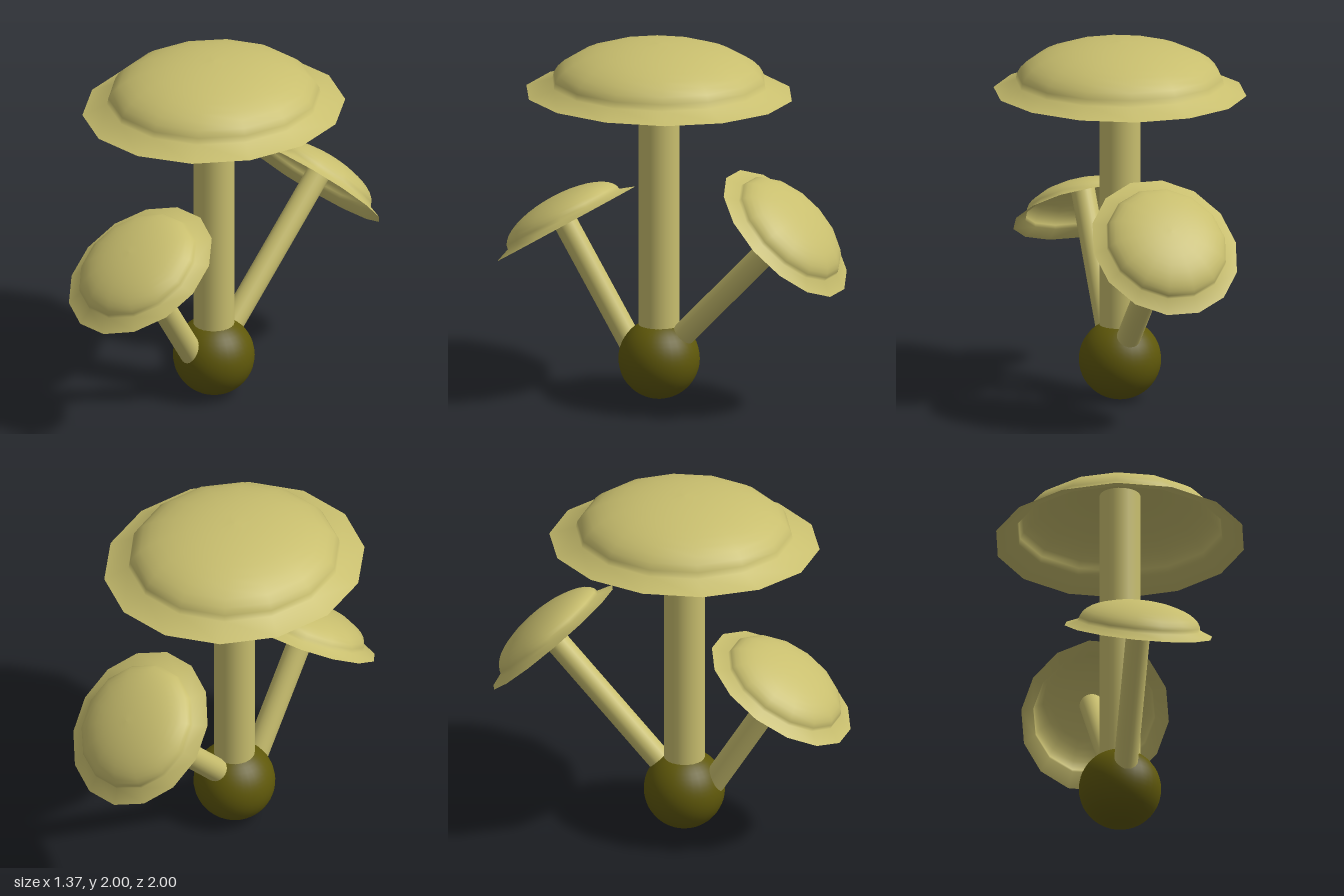
import * as THREE from 'three';

const SIDES = 14;
const fleshMat = new THREE.MeshStandardMaterial({ color: 0xc8be6e, side: THREE.DoubleSide });
const bulbMat = new THREE.MeshStandardMaterial({ color: 0x5f580a });

// Thin open shell: flared rim at y = 0, elliptical dome above it
function capGeometry() {
  const domeR = 0.57, domeBase = 0.05, domeH = 0.23, steps = 10;
  const profile = [new THREE.Vector2(0.687, 0)];
  for (let i = 0; i <= steps; i++) {
    const a = (i / steps) * Math.PI / 2;
    profile.push(new THREE.Vector2(Math.max(0, domeR * Math.cos(a)), domeBase + domeH * Math.sin(a)));
  }
  const geo = new THREE.LatheGeometry(profile, SIDES, Math.PI / 2);
  // Slightly longer front to back, most of all at the rim
  const pos = geo.attributes.position;
  for (let i = 0; i < pos.count; i++) {
    pos.setZ(i, pos.getZ(i) * (pos.getY(i) < 0.01 ? 1.088 : 1.05));
  }
  return geo;
}

// Mushroom with its origin at the centre of the cap rim, stem running down -y
function mushroom(name, { z, y, tilt, scale, stemRadius, stemLength, stemTop }) {
  const group = new THREE.Group();
  group.name = name;

  const cap = new THREE.Mesh(capGeometry(), fleshMat);
  cap.name = name + 'Cap';
  cap.scale.setScalar(scale);

  const stem = new THREE.Mesh(
    new THREE.CylinderGeometry(stemRadius, stemRadius, stemLength + stemTop, 24), fleshMat);
  stem.name = name + 'Stem';
  stem.position.y = (stemTop - stemLength) / 2;

  group.add(cap, stem);
  group.position.set(0, y, z);
  group.rotation.x = tilt;
  return group;
}

export function createModel() {
  const model = new THREE.Group();
  model.name = 'mushroomCluster';

  // Round bulb at the base
  const bulb = new THREE.Mesh(new THREE.SphereGeometry(0.222, 32, 24), bulbMat);
  bulb.name = 'bulb';
  bulb.position.set(0, 0.222, 0.07);
  bulb.scale.x = 1.015;
  model.add(bulb);

  model.add(
    mushroom('mainMushroom', {
      z: 0.07, y: 1.72, tilt: 0, scale: 1,
      stemRadius: 0.112, stemLength: 1.42, stemTop: 0.265,
    }),
    mushroom('frontMushroom', {
      z: 0.63, y: 0.917, tilt: 0.555, scale: 0.596,
      stemRadius: 0.066, stemLength: 0.84, stemTop: 0.155,
    }),
    mushroom('backMushroom', {
      z: -0.69, y: 1.013, tilt: -0.765, scale: 0.596,
      stemRadius: 0.066, stemLength: 0.98, stemTop: 0.155,
    }),
  );
  return model;
}
